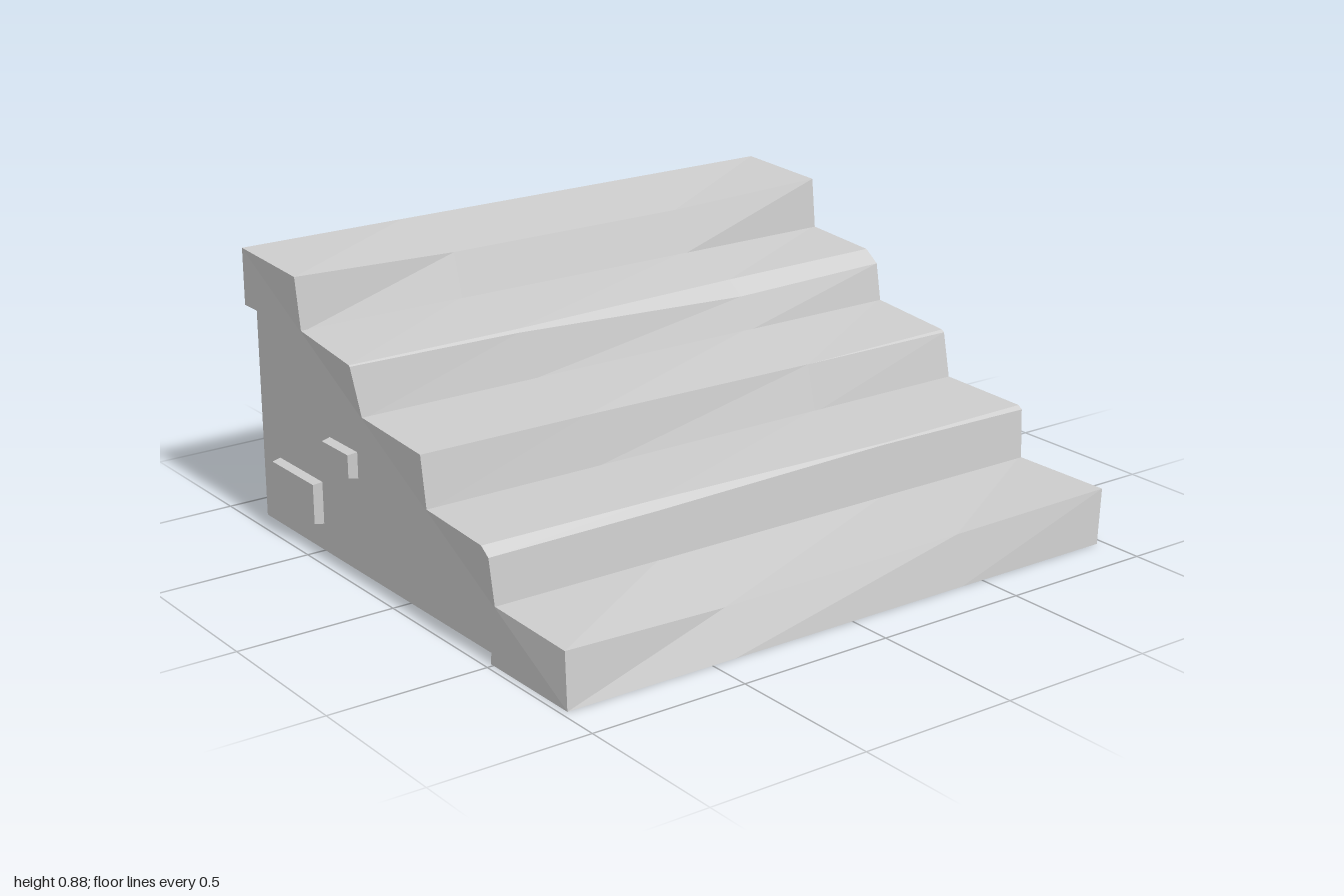
import * as THREE from 'three';

const material = new THREE.MeshStandardMaterial({ color: 0xcccccc, flatShading: true });
const STEPS = 5, RISE = 0.174, RUN = 0.342, FRONT = 0.857, BACK = -0.861;
const MID = 0.42; // x of the two inner cross-sections
const NONE = [0, 0, 0, 0];

// Joins equal cross-sections (loops of [x, y, z], front edge rising first) into a closed solid.
function loft(sections) {
  const pos = [], n = sections[0].length, last = sections.length - 1;
  const tri = (a, b, c) => pos.push(...a, ...b, ...c);
  for (let i = 0; i < last; i++) {
    for (let j = 0; j < n; j++) {
      const k = (j + 1) % n, s = sections[i], t = sections[i + 1];
      tri(s[j], t[j], t[k]);
      tri(s[j], t[k], s[k]);
    }
  }
  for (let k = 1; k < n - 1; k++) {
    tri(sections[0][0], sections[0][k], sections[0][k + 1]);
    tri(sections[last][0], sections[last][k + 1], sections[last][k]);
  }
  const geometry = new THREE.BufferGeometry();
  geometry.setAttribute('position', new THREE.Float32BufferAttribute(pos, 3));
  geometry.computeVertexNormals();
  return geometry;
}

// Wear of each tread at four places from -x to +x: how far the lip has sunk, how wide
// it is chipped off, and where its upper front corners end in x.
const treads = [
  { sunk: [0.005, 0.035, 0.015, 0], chip: NONE, left: -0.972, right: 1 },
  { sunk: [0, 0, 0.004, 0.002], chip: [0.035, 0.03, 0.005, 0.015], left: -0.988, right: 0.985 },
  { sunk: [0.008, 0.01, 0.024, 0.016], chip: [0, 0, 0, 0.01], left: -0.982, right: 0.975 },
  { sunk: [0.01, 0.013, 0.02, 0.008], chip: [0.005, 0.012, 0.06, 0.053], left: -1, right: 0.975 },
  { sunk: [0.003, 0.028, 0.028, 0.003], chip: NONE, left: -0.985, right: 0.975 },
];

// Slab with a sagging, chipped front lip, sloping up a little towards the back.
function treadGeometry({ sunk, chip, left, right }, step) {
  const y = step * RISE, z = FRONT - step * RUN;
  return loft(sunk.map((drop, i) => {
    const lipY = y + 0.17 - drop, lowZ = z - 0.015 - drop;
    const lower = [-0.98, -MID, MID, 0.975][i], upper = [left, -MID, MID, right][i];
    return [
      [lower, y, z],
      [upper, lipY - chip[i] * 0.7, lowZ],
      [upper, lipY, lowZ - chip[i]],
      [lower, y + 0.18, z - 0.35],
      [lower, y, Math.max(z - 0.37, BACK)],
    ];
  }));
}

// Stepped block inside the treads, extruded across x.
function coreGeometry() {
  const back = BACK + 0.006, shape = new THREE.Shape();
  shape.moveTo(-back, 0.005);
  shape.lineTo(-FRONT + 0.02, 0.005);
  for (let i = 0; i < STEPS; i++) {
    const y = i * RISE + 0.04, z = FRONT - 0.02 - i * RUN;
    shape.lineTo(-z, y);
    shape.lineTo(i < STEPS - 1 ? RUN - z : -back, y);
  }
  const geometry = new THREE.ExtrudeGeometry(shape, { depth: 1.89, bevelEnabled: false });
  return geometry.translate(0, 0, -0.945).rotateY(Math.PI / 2);
}

// Protruding side stone, a little smaller on its outer face.
function stoneGeometry(side, z0, z1, y0, y1) {
  const outline = (x, inset) => [
    [x, y0 + inset, z0 - inset],
    [x, y1 - inset, z0 - inset],
    [x, y1 - inset, z1 + inset],
    [x, y0 + inset, z1 + inset],
  ];
  const ends = [outline(side * 0.92, 0), outline(side * 0.975, 0.009)];
  return loft(side > 0 ? ends : ends.reverse());
}

export function createModel() {
  const model = new THREE.Group();
  model.name = 'stoneStairs';
  const add = (name, geometry) => {
    const mesh = new THREE.Mesh(geometry, material);
    mesh.name = name;
    model.add(mesh);
  };
  add('core', coreGeometry());
  treads.forEach((tread, i) => add(`tread${i + 1}`, treadGeometry(tread, i)));
  for (const side of [-1, 1]) {
    const label = side > 0 ? 'left' : 'right';
    add(`${label}SmallStone`, stoneGeometry(side, -0.265, -0.435, 0.3, 0.39));
    add(`${label}LargeStone`, stoneGeometry(side, -0.485, -0.755, 0.087, 0.23));
  }
  return model;
}
